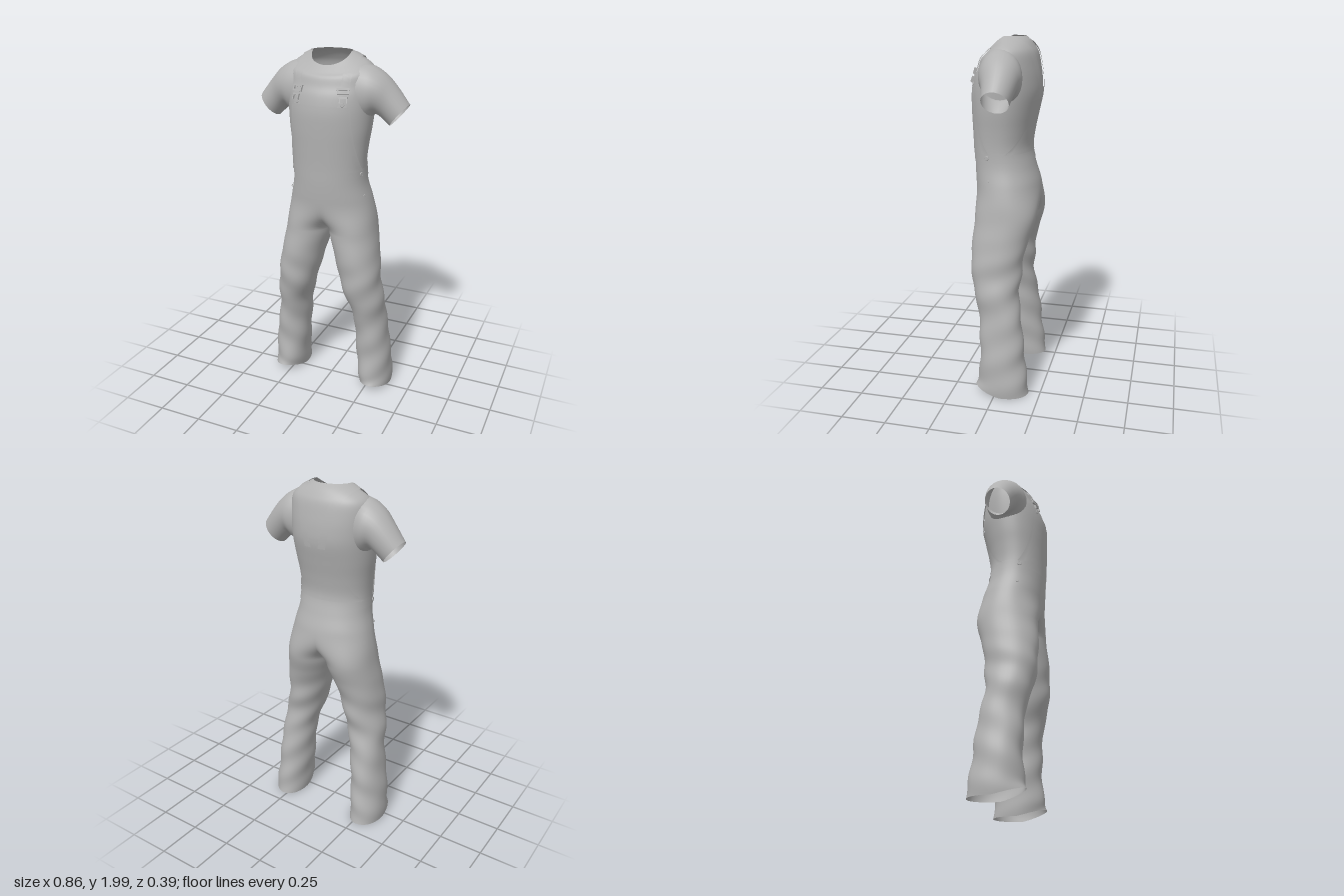
import * as THREE from 'three';
import { mergeGeometries, mergeVertices } from 'three/addons/utils/BufferGeometryUtils.js';

// Torso rings, neck to hips: height, half width, front z, back z, front dip
const TORSO = [
  [1.995, 0.11, 0.088, -0.095, 0.065],
  [1.975, 0.15, 0.102, -0.122, 0.06],
  [1.945, 0.205, 0.12, -0.145, 0.05],
  [1.91, 0.235, 0.14, -0.163, 0.035],
  [1.85, 0.243, 0.155, -0.176, 0.02],
  [1.78, 0.243, 0.176, -0.186, 0],
  [1.7, 0.238, 0.19, -0.187, 0],
  [1.6, 0.229, 0.19, -0.167, 0],
  [1.5, 0.215, 0.186, -0.146, 0],
  [1.4, 0.207, 0.182, -0.135, 0],
  [1.3, 0.212, 0.18, -0.158, 0],
  [1.2, 0.235, 0.174, -0.188, 0],
  [1.1, 0.255, 0.163, -0.195, 0],
];
// Leg rings, crotch to hem: height, outer x, inner x, front z, back z
const LEG = [
  [1.0, 0.268, 0.0, 0.158, -0.185],
  [0.9, 0.285, 0.03, 0.166, -0.155],
  [0.8, 0.3, 0.06, 0.168, -0.13],
  [0.7, 0.308, 0.085, 0.163, -0.12],
  [0.6, 0.325, 0.115, 0.145, -0.112],
  [0.5, 0.333, 0.143, 0.113, -0.125],
  [0.4, 0.344, 0.157, 0.103, -0.14],
  [0.3, 0.358, 0.165, 0.1, -0.15],
  [0.2, 0.367, 0.172, 0.1, -0.158],
  [0.1, 0.373, 0.181, 0.108, -0.175],
  [0.01, 0.372, 0.19, 0.118, -0.187],
];
const RINGS = [
  ...TORSO.map(([y, w, f, b, d]) => [y, w, 0, f, b, d]),
  ...LEG.map(([y, w, i, f, b], n) => [y, w, i, f, b, n === LEG.length - 1 ? -0.04 : 0]),
];
const LAST = RINGS.length - 1;
// Sleeve rings: upper x, y, lower x, y, centre z, half depth
const SLEEVE = [
  [0.17, 1.945, 0.17, 1.62, 0, 0.115],
  [0.235, 1.93, 0.222, 1.655, -0.01, 0.118],
  [0.3, 1.89, 0.252, 1.68, -0.014, 0.105],
  [0.36, 1.828, 0.288, 1.66, -0.02, 0.088],
  [0.43, 1.74, 0.33, 1.622, -0.02, 0.073],
];

// Smooth interpolation through table rows
function sample(rows, v) {
  const n = rows.length - 1;
  const i = Math.min(n - 1, Math.max(0, Math.floor(v)));
  const t = v - i;
  const p = k => rows[Math.min(n, Math.max(0, k))];
  return rows[0].map((_, c) => {
    const [a, b, d, e] = [p(i - 1)[c], p(i)[c], p(i + 1)[c], p(i + 2)[c]];
    return b + 0.5 * t * (d - a + t * (2 * a - 5 * b + 4 * d - e + t * (3 * (b - d) + e - a)));
  });
}

// Half ring that closes into a full leg ring below the crotch
function ringAt(v) {
  const [y, w, inner, f, b, dip] = sample(RINGS, v);
  const k = THREE.MathUtils.clamp((1.2 - y) / 0.2, 0, 1);
  const span = Math.PI / 2 * (1 + k * k);
  const rx = (w - (y >= 1 ? 0 : inner)) / (1 - Math.cos(span));
  return { y, w, dip, span, rx, cx: w - rx, rz: (f - b) / 2, cz: (f + b) / 2 };
}

// Point on the left half of the body; angle 0 is outward, PI/2 is front
function rawBody(v, a) {
  const r = ringAt(v);
  const s = Math.sin(a);
  const mask = THREE.MathUtils.smoothstep(0.95 - r.y, 0, 0.25);
  const fold = 1 + mask * (0.028 * Math.sin(r.y * 34 + a * 2) + 0.018 * Math.sin(r.y * 13 - a * 3));
  return new THREE.Vector3(
    r.cx + r.rx * Math.cos(a) * fold,
    r.y - r.dip * Math.max(0, s),
    r.cz + r.rz * Math.sign(s) * Math.abs(s) ** 0.9 * fold);
}
function bodyNormal(v, a) {
  const e = 0.02;
  const da = rawBody(v, a + e).sub(rawBody(v, a - e));
  const dv = rawBody(Math.min(LAST, v + e), a).sub(rawBody(Math.max(0, v - e), a));
  return dv.cross(da).normalize().negate();
}
function body(v, a, lift = 0) {
  const p = rawBody(v, a);
  if (!lift) return p;
  const n = bodyNormal(v, a);
  if (n.x * Math.cos(a) + n.z * Math.sin(a) < 0) n.negate();
  return p.addScaledVector(n, lift);
}
const angleFor = (v, x, side) => {
  const r = ringAt(v);
  return side * Math.acos(THREE.MathUtils.clamp((x - r.cx) / r.rx, -1, 1));
};
// Ring position and angle for a given x and height on the front (1) or back (-1)
function locate(x, y, side) {
  let lo = 0, hi = 14;
  for (let i = 0; i < 24; i++) {
    const m = (lo + hi) / 2;
    if (rawBody(m, angleFor(m, x, side)).y > y) lo = m; else hi = m;
  }
  return [lo, angleFor(lo, x, side)];
}

// Grid surface from a rule f(u, v)
function sheet(f, nu, nv, mirror = false) {
  const pos = [], idx = [];
  for (let j = 0; j <= nv; j++) for (let i = 0; i <= nu; i++) {
    const p = f(i / nu, j / nv);
    pos.push(mirror ? -p.x : p.x, p.y, p.z);
  }
  for (let j = 0; j < nv; j++) for (let i = 0; i < nu; i++) {
    const a = j * (nu + 1) + i, b = a + 1, c = a + nu + 1, d = c + 1;
    if (mirror) idx.push(a, b, c, b, d, c); else idx.push(a, c, b, b, c, d);
  }
  const g = new THREE.BufferGeometry();
  g.setAttribute('position', new THREE.Float32BufferAttribute(pos, 3));
  g.setIndex(idx);
  return g;
}

export function createModel() {
  const model = new THREE.Group();
  const cloth = new THREE.MeshStandardMaterial({ color: 0xb2b2b2, side: THREE.DoubleSide });
  cloth.name = 'grey cloth';
  const add = (name, geo, parent = model) => {
    const m = new THREE.Mesh(geo, cloth);
    m.name = name;
    parent.add(m);
    return m;
  };
  const smooth = parts => {
    const g = mergeVertices(mergeGeometries(parts), 1e-4);
    g.computeVertexNormals();
    return g;
  };
  const bothSides = (name, f, nu, nv) => add(name, smooth([sheet(f, nu, nv), sheet(f, nu, nv, true)]));
  const band = (v0, v1, lift) => (u, t) => {
    const v = v0 + (v1 - v0) * t;
    return body(v, ringAt(v).span * (1 - 2 * u), lift);
  };

  // Shirt body, trousers, collar and waistband
  bothSides('shirtBody', band(0, 9.2, 0), 40, 40);
  bothSides('trousers', band(9.2, LAST, 0), 44, 88);
  bothSides('collar', band(0, 0.6, 0.004), 40, 4);
  bothSides('waistband', band(9.1, 9.65, 0.004), 40, 4);

  // Sleeves
  const sleeve = (u, t) => {
    const [tx, ty, bx, by, cz, rz] = sample(SLEEVE, t * (SLEEVE.length - 1));
    const c = Math.cos(u * Math.PI * 2), s = Math.sin(u * Math.PI * 2);
    return new THREE.Vector3((tx + bx) / 2 + (tx - bx) / 2 * c, (ty + by) / 2 + (ty - by) / 2 * c, cz - rz * s);
  };
  add('leftSleeve', smooth([sheet(sleeve, 28, 16)]));
  add('rightSleeve', smooth([sheet(sleeve, 28, 16, true)]));

  // Front bib and tapering back panel
  const panel = (top, bottom, edge, side) => (u, t) => {
    const y = bottom + (top - bottom) * t;
    const [v, a] = locate(edge(t) * u, y, side);
    return body(v, a, 0.006);
  };
  bothSides('bib', panel(1.735, 1.38, t => 0.163 + 0.04 * (1 - t) ** 1.6, 1), 14, 18);
  bothSides('backPanel', panel(1.73, 1.38, t => 0.045 + 0.155 * (1 - t) ** 1.3, -1), 14, 18);

  // Shoulder straps running over the ridge of each shoulder
  const strap = (u, t) => {
    const s = 1 - 2 * t, k = s * s, side = s >= 0 ? 1 : -1;
    const top = 0.142 + (u - 0.5) * 0.042;
    let lo = 0, hi = 3;
    for (let i = 0; i < 22; i++) {
      const m = (lo + hi) / 2;
      if (ringAt(m).w < top) lo = m; else hi = m;
    }
    const x = top - k * (side > 0 ? 0.017 : 0.1);
    const v = lo + ((side > 0 ? 5.6 : 6.2) - lo) * k;
    return body(v, angleFor(v, x, side), 0.007);
  };
  bothSides('straps', strap, 4, 40);

  // Buckles, bib buttons and hip buttons
  for (const sx of [1, -1]) {
    const place = (name, v, a, lift) => {
      const g = new THREE.Group();
      g.name = name;
      const p = body(v, a, lift), q = body(v, a, lift + 0.1);
      g.position.set(p.x * sx, p.y, p.z);
      g.lookAt(q.x * sx, q.y, q.z);
      model.add(g);
      return g;
    };
    const bar = (g, x, y, w, h) =>
      add('buckleBar', new THREE.BoxGeometry(w, h, 0.009), g).position.set(x, y, 0);
    const buckle = place('buckle', ...locate(0.126, 1.8, 1), 0.012);
    bar(buckle, 0, 0.026, 0.066, 0.011);
    bar(buckle, 0, 0.002, 0.06, 0.009);
    bar(buckle, 0, -0.02, 0.044, 0.009);
    for (const k of [1, -1]) {
      bar(buckle, k * 0.027, 0.014, 0.008, 0.03);
      bar(buckle, k * 0.018, -0.032, 0.006, 0.03);
    }
    const stud = (name, v, a, r) => {
      const g = place(name, v, a, 0.006);
      add('buttonRim', new THREE.TorusGeometry(r, r * 0.3, 8, 16), g);
      add('buttonFace', new THREE.CylinderGeometry(r, r, 0.005, 16), g).rotation.x = Math.PI / 2;
    };
    stud('bibButton', ...locate(0.126, 1.748, 1), 0.009);
    stud('waistButton', 9.4, 0.27, 0.01);
    stud('hipButton', 10.65, 0.3, 0.006);
  }
  return model;
}
